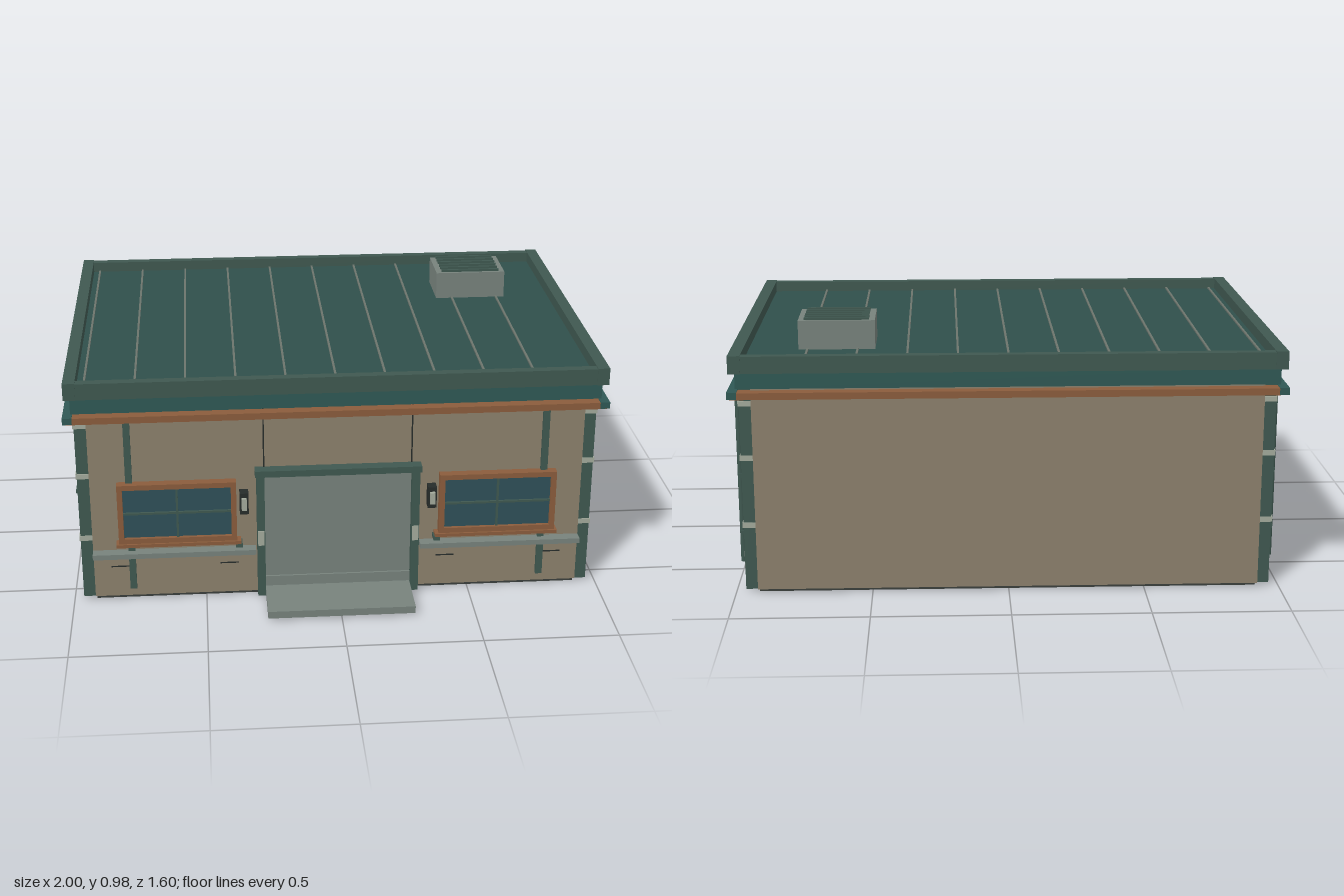
import * as THREE from 'three';

const COLORS = {
  wall: 0x8c806c, dark: 0x3f5850, teal: 0x2f5854, deck: 0x2f4f4b, glass: 0x2f5058,
  wood: 0x8a5c3c, gray: 0x77827c, pale: 0xa3aa9c, base: 0x3a3f3c, black: 0x262c2a, seam: 0x6c746c,
};
const MATS = {};
for (const k in COLORS) MATS[k] = new THREE.MeshStandardMaterial({ color: COLORS[k] });

// Box given by its limits on each axis
function box(parent, name, mat, x0, x1, y0, y1, z0, z1) {
  const m = new THREE.Mesh(new THREE.BoxGeometry(x1 - x0, y1 - y0, z1 - z0), MATS[mat]);
  m.position.set((x0 + x1) / 2, (y0 + y1) / 2, (z0 + z1) / 2);
  m.name = name;
  parent.add(m);
  return m;
}

function group(parent, name) {
  const g = new THREE.Group();
  g.name = name;
  parent.add(g);
  return g;
}

// Framed four-pane window facing +z; its back lies on z = 0
function makeWindow(parent, name, w, h, depth) {
  const g = group(parent, name), a = w / 2, b = h / 2, t = 0.02;
  box(g, 'glass', 'glass', -a + t, a - t, -b + t, b - t, 0, depth - 0.014);
  for (const s of [-1, 1]) {
    box(g, 'frameSide', 'wood', s * (a - t / 2) - t / 2, s * (a - t / 2) + t / 2, -b, b, 0, depth);
    box(g, 'frameRail', 'wood', -a + t, a - t, s * (b - t / 2) - t / 2, s * (b - t / 2) + t / 2, 0, depth);
  }
  box(g, 'mullion', 'dark', -0.004, 0.004, -b + t, b - t, 0, depth - 0.006);
  box(g, 'transom', 'dark', -a + t, a - t, -0.004, 0.004, 0, depth - 0.006);
  return g;
}

// Everything on one side wall, built for +x
function makeSide(parent, s) {
  const g = group(parent, s > 0 ? 'leftSide' : 'rightSide');
  const X = 0.92;
  // Corner posts with pale bands
  for (const [z0, z1] of [[0.515, 0.577], [-0.737, -0.675]]) {
    const a = s * 0.9, b = s * 0.965, lo = Math.min(a, b), hi = Math.max(a, b);
    box(g, 'cornerPost', 'dark', lo, hi, 0.01, 0.785, z0, z1);
    for (const y of [0.714, 0.512, 0.257])
      box(g, 'postBand', 'pale', lo - 0.004, hi + 0.004, y - 0.01, y + 0.01, z0 - 0.003, z1 + 0.003);
  }
  const face = group(g, 'sideFittings'); // local x runs along -z, local z points out of the wall
  face.rotation.y = s * Math.PI / 2;
  face.position.x = s * X;
  const along = z => -s * z;
  const put = (name, mat, z0, z1, y0, y1, d0, d1) => {
    const p = along(z0), q = along(z1);
    return box(face, name, mat, Math.min(p, q), Math.max(p, q), y0, y1, d0, d1);
  };
  // Windows with louvred shutters and sills
  for (const z of [0.14, -0.41]) {
    const w = makeWindow(face, 'sideWindow', 0.28, 0.27, 0.065);
    w.position.set(along(z), 0.455, 0);
    box(w, 'sill', 'dark', -0.152, 0.152, -0.15, -0.135, 0, 0.075);
    for (const e of [-1, 1]) {
      box(w, 'shutter', 'dark', e * 0.157 - 0.016, e * 0.157 + 0.016, -0.13, 0.125, 0, 0.05);
      for (let i = 0; i < 7; i++)
        box(w, 'louvre', 'teal', e * 0.157 - 0.013, e * 0.157 + 0.013, -0.116 + i * 0.035, -0.1 + i * 0.035, 0.045, 0.058);
    }
  }
  // Row of low panels
  for (let i = 0; i < 5; i++) {
    const z = 0.37 - i * 0.2212;
    put('lowPanel', 'gray', z - 0.205, z, 0.07, 0.15, 0, 0.048);
  }
  // Downpipe with brackets
  const pipe = new THREE.Mesh(new THREE.CylinderGeometry(0.011, 0.011, 0.665, 12), MATS.dark);
  pipe.name = 'downpipe';
  pipe.position.set(along(-0.64), 0.4175, 0.06);
  face.add(pipe);
  for (const y of [0.2, 0.42, 0.68]) put('pipeBracket', 'dark', -0.655, -0.625, y - 0.008, y + 0.008, 0, 0.068);
  // Gutter under the eaves
  put('gutter', 'teal', -0.8, 0.635, 0.745, 0.77, 0.045, 0.08);
}

// Everything on one half of the front, mirrored by s
function makeFrontHalf(parent, s) {
  const g = group(parent, s > 0 ? 'frontLeft' : 'frontRight');
  const F = 0.59;
  const put = (name, mat, x0, x1, y0, y1, d0, d1) =>
    box(g, name, mat, Math.min(s * x0, s * x1), Math.max(s * x0, s * x1), y0, y1, F + d0, F + d1);
  const w = makeWindow(g, 'frontWindow', 0.44, 0.24, 0.035);
  w.position.set(s * 0.6, 0.37, F);
  put('sill', 'wood', 0.365, 0.83, 0.237, 0.25, 0, 0.042);
  put('sillBracket', 'dark', 0.36, 0.385, 0.222, 0.238, 0, 0.04);
  put('ledge', 'gray', 0.31, 0.92, 0.19, 0.21, 0, 0.042);
  put('wallStrip', 'dark', 0.762, 0.787, 0.05, 0.745, 0, 0.014);
  put('wallSeam', 'black', 0.273, 0.278, 0.53, 0.78, 0, 0.003);
  for (const x of [0.41, 0.82]) put('wallSlot', 'black', x - 0.035, x + 0.035, 0.138, 0.142, 0, 0.003);
  // Wall lamp
  put('lampBody', 'black', 0.335, 0.368, 0.36, 0.445, 0, 0.04);
  put('lampLens', 'pale', 0.342, 0.361, 0.38, 0.427, 0.03, 0.053);
  // Door jamb
  put('doorJamb', 'dark', 0.275, 0.305, 0.01, 0.515, 0, 0.035);
  put('jambBand', 'pale', 0.278, 0.302, 0.225, 0.285, 0.03, 0.038);
}

export function createModel() {
  const model = new THREE.Group();
  model.name = 'building';

  // Walls and floor slab
  box(model, 'floorSlab', 'base', -0.915, 0.915, 0, 0.03, -0.737, 0.577);
  box(model, 'walls', 'wall', -0.92, 0.92, 0.015, 0.79, -0.757, 0.59);
  for (const s of [-1, 1]) {
    makeSide(model, s);
    makeFrontHalf(model, s);
  }

  // Door, lintel and step
  box(model, 'door', 'gray', -0.275, 0.275, 0.08, 0.512, 0.58, 0.594);
  box(model, 'kickPlate', 'gray', -0.275, 0.275, 0.04, 0.08, 0.58, 0.602);
  box(model, 'lintel', 'dark', -0.31, 0.31, 0.51, 0.535, 0.58, 0.635);
  box(model, 'step', 'gray', -0.275, 0.275, 0.01, 0.038, 0.58, 0.8);

  // Eaves: timber trim front and back, fascia above
  box(model, 'frontTrim', 'wood', -0.99, 0.99, 0.743, 0.768, 0.585, 0.633);
  box(model, 'backTrim', 'wood', -0.99, 0.99, 0.743, 0.768, -0.798, -0.75);
  box(model, 'fascia', 'teal', -0.97, 0.97, 0.78, 0.845, -0.785, 0.62);

  // Roof deck, parapet and standing seams
  const roof = group(model, 'roof');
  box(roof, 'deck', 'deck', -0.96, 0.96, 0.835, 0.86, -0.775, 0.61);
  for (const s of [-1, 1])
    box(roof, 'sideParapet', 'dark', s * 0.97 - 0.022, s * 0.97 + 0.022, 0.838, 0.903, -0.8, 0.633);
  box(roof, 'frontParapet', 'dark', -0.95, 0.95, 0.838, 0.9, 0.595, 0.63);
  box(roof, 'backParapet', 'dark', -0.95, 0.95, 0.838, 0.9, -0.798, -0.763);
  for (let i = 0; i < 10; i++) {
    const x = -0.922 + i * 0.1837;
    box(roof, 'roofSeam', 'seam', x - 0.004, x + 0.004, 0.855, 0.866, -0.763, 0.595);
  }

  // Rooftop vent unit with slats
  const vent = group(model, 'roofVent');
  box(vent, 'ventBody', 'gray', 0.483, 0.765, 0.855, 0.968, -0.52, -0.308);
  for (let i = 0; i < 6; i++) {
    const z = -0.505 + i * 0.036;
    box(vent, 'ventSlat', 'dark', 0.505, 0.743, 0.965, 0.977, z - 0.005, z + 0.005);
  }
  return model;
}
